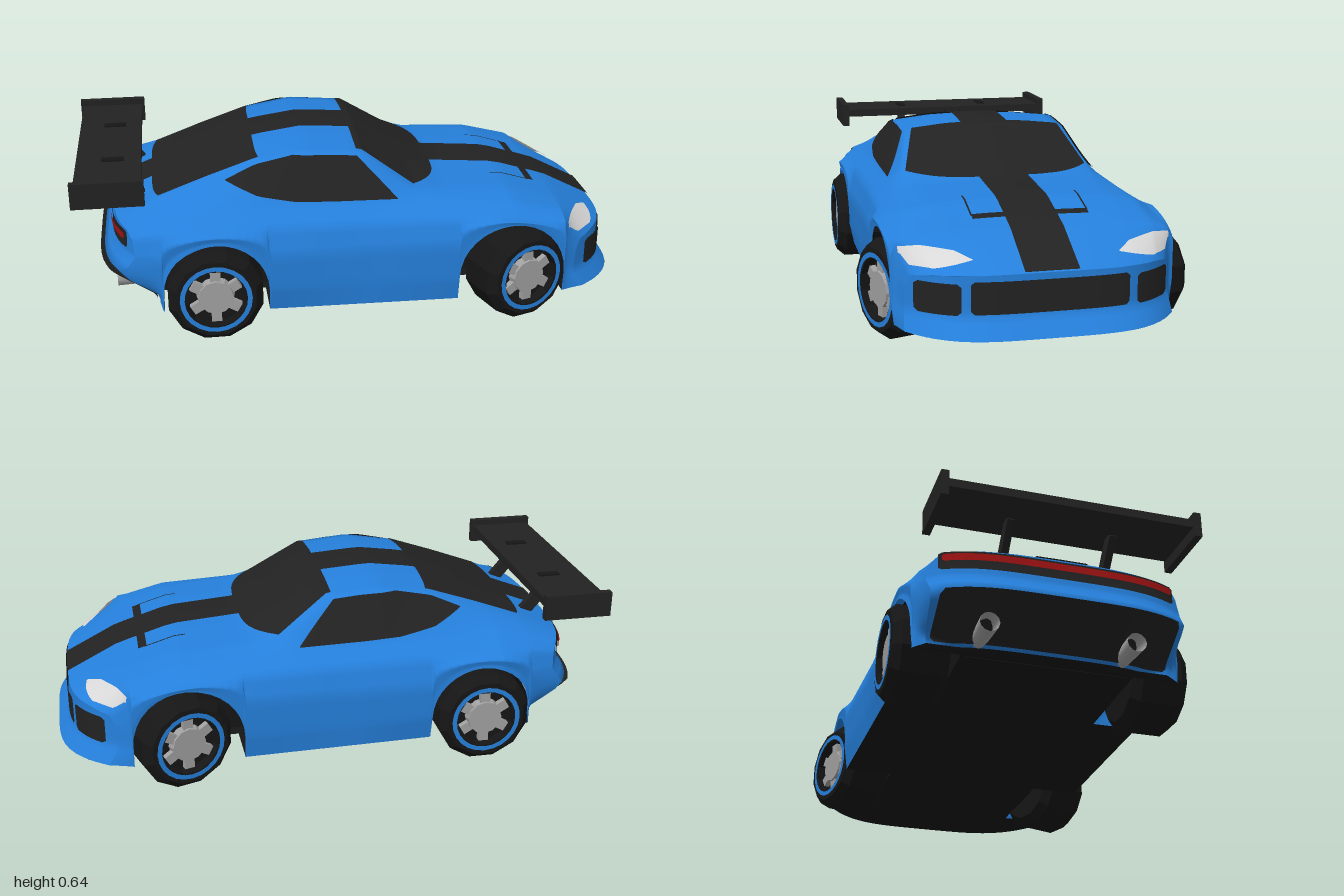
import * as THREE from 'three';

const mat = (name, color, side = THREE.DoubleSide) => new THREE.MeshStandardMaterial({ name, color, side });
const paint = mat('blue paint', 0x2580dc), black = mat('black trim', 0x222222), rubber = mat('tyre rubber', 0x161616);
const silver = mat('silver', 0xa0a0a0), lamp = mat('headlight white', 0xd8d8d8), red = mat('tail light red', 0xa01212);

// Linear lookup in rows of [x, ...values]
function look(rows, x) {
  let i = 0;
  while (i < rows.length - 2 && x > rows[i + 1][0]) i++;
  const a = rows[i], b = rows[i + 1];
  const t = THREE.MathUtils.clamp((x - a[0]) / (b[0] - a[0]), 0, 1);
  return a.slice(1).map((v, k) => v + (b[k + 1] - v) * t);
}
const mix = THREE.MathUtils.lerp;

// Body lines running from tail to nose: [x, y, z]
const sill = [[-0.87, 0.12, 0.42], [-0.68, 0.1, 0.47], [-0.3, 0.085, 0.465], [0.5, 0.082, 0.48], [0.76, 0.085, 0.475], [0.95, 0.088, 0.455]];
const lower = [[-0.87, 0.19, 0.43], [-0.6, 0.18, 0.485], [0, 0.17, 0.478], [0.5, 0.17, 0.495], [0.76, 0.17, 0.485], [0.95, 0.15, 0.45]];
const waist = [[-0.87, 0.31, 0.445], [-0.6, 0.3, 0.49], [0, 0.3, 0.48], [0.5, 0.31, 0.498], [0.76, 0.28, 0.485], [0.95, 0.23, 0.445]];
const shoulder = [[-0.87, 0.37, 0.43], [-0.6, 0.4, 0.46], [0, 0.39, 0.455], [0.5, 0.39, 0.47], [0.76, 0.355, 0.465], [0.95, 0.27, 0.43]];
const belt = [[-0.87, 0.4, 0.4], [-0.6, 0.44, 0.41], [-0.26, 0.46, 0.39], [0.136, 0.45, 0.39], [0.31, 0.437, 0.4], [0.56, 0.422, 0.41], [0.76, 0.375, 0.4], [0.95, 0.283, 0.37]];
const roofEdge = [[-0.87, 0.405, 0.3], [-0.53, 0.53, 0.295], [-0.36, 0.587, 0.3], [-0.18, 0.615, 0.31], [0.02, 0.6, 0.305], [0.2, 0.478, 0.35], [0.31, 0.457, 0.33], [0.56, 0.44, 0.32], [0.76, 0.383, 0.3], [0.95, 0.288, 0.28]];
const spine = [[-0.87, 0.41], [-0.79, 0.44], [-0.53, 0.545], [-0.36, 0.61], [-0.18, 0.635], [0.02, 0.622], [0.31, 0.47], [0.56, 0.45], [0.76, 0.388], [0.95, 0.29]];
const arches = [{ x: -0.52, r: 0.185 }, { x: 0.545, r: 0.195 }], ARCH_Y = 0.17;
const inArch = (x) => arches.find((a) => Math.abs(x - a.x) <= a.r);

// Half cross-section, sill to spine, as [y, z] points; the lower side makes way for the wheel arches
function section(x) {
  const p = [sill, lower, waist, shoulder, belt, roofEdge].map((l) => look(l, x));
  const top = look(spine, x)[0];
  p.push([mix(p[5][0], top, 0.75), p[5][1] * 0.5], [top, 0]);
  const a = inArch(x);
  if (a) {
    const y0 = p[0][0], y3 = p[3][0];
    const yb = ARCH_Y + Math.sqrt(Math.max(0, a.r ** 2 - (x - a.x) ** 2));
    for (let k = 0; k < 3; k++) p[k][0] = yb + ((p[k][0] - y0) / (y3 - y0)) * (y3 - yb);
    p[0][1] = look(waist, x)[1] - 0.003;
  }
  return p;
}

// Rounds nose and tail in plan and gives them their side profile
const TAIL = -0.87, NOSE = 0.95;
function bend(x, y, z) {
  if (x > 0.74) {
    const end = Math.max(NOSE + look([[0.085, 0.05], [0.155, 0]], y)[0] - 4 * z ** 4, 0.75);
    x = mix(0.74, end, (x - 0.74) / (NOSE - 0.74));
  } else if (x < -0.71) {
    const end = Math.min(TAIL + look([[0.12, 0.13], [0.24, -0.05], [0.31, -0.005], [0.36, 0]], y)[0] + 2 * z ** 4, -0.72);
    x = mix(-0.71, end, (-0.71 - x) / (-0.71 - TAIL));
  }
  return [x, y, z];
}

// Point on the skin at station x where the section has the given z (axis 1) or y (axis 0)
function onSkin(x, axis, value, side = 1) {
  const p = section(x);
  for (let k = 7; k > 0; k--) {
    const a = p[k], b = p[k - 1], t = (value - a[axis]) / (b[axis] - a[axis]);
    if (t >= 0 && t <= 1) return bend(x, mix(a[0], b[0], t), side * mix(a[1], b[1], t));
  }
  return bend(x, p[2][0], side * p[2][1]);
}

// Surface from a function of u, v in 0..1
function surface(name, material, us, nv, fn) {
  const pos = [], idx = [], w = nv + 1;
  us.forEach((u) => { for (let j = 0; j <= nv; j++) pos.push(...fn(u, j / nv)); });
  for (let i = 0; i < us.length - 1; i++) for (let j = 0; j < nv; j++) {
    const a = i * w + j;
    idx.push(a, a + w, a + 1, a + 1, a + w, a + w + 1);
  }
  const g = new THREE.BufferGeometry();
  g.setAttribute('position', new THREE.Float32BufferAttribute(pos, 3));
  g.setIndex(idx);
  g.computeVertexNormals();
  return named(name, g, material);
}
function named(name, geometry, material, x = 0, y = 0, z = 0) {
  const m = new THREE.Mesh(geometry, material);
  m.name = name;
  m.position.set(x, y, z);
  return m;
}
const steps = (n) => Array.from({ length: n + 1 }, (_, i) => i / n);
const shift = ([x, y, z], dx, dy, dz = 0) => [x + dx, y + dy, z + dz];
const faceted = (g) => { const f = g.toNonIndexed(); f.computeVertexNormals(); return f; };

// Panel laid on the upper skin; fn gives [station, z]
const topPanel = (name, material, fn) => surface(name, material, steps(40), 24, (u, v) => {
  const [x, z] = fn(u, 1 - 2 * v);
  return shift(onSkin(x, 1, Math.abs(z), Math.sign(z) || 1), 0.002, 0.006);
});
// Panel laid on the nose or tail face
const endPanel = (name, material, x, y0, y1, z0, z1, d) => surface(name, material, steps(10), 24, (u, v) => {
  const cut = Math.abs(u - 0.5) > 0.4 ? 0.012 : 0;
  const y = mix(y0, y1, u), z = mix(z0 + cut, z1 - cut, v);
  return shift(bend(x, y, z), d, 0, 0.006 * Math.sign(z0 + z1));
});

function wheel(name) {
  const g = new THREE.Group();
  g.name = name;
  const profile = [[0, -0.1], [0.14, -0.1], [0.172, -0.07], [0.172, 0.07], [0.145, 0.1], [0.108, 0.1], [0.108, 0.06], [0, 0.06]];
  const tyre = new THREE.LatheGeometry(profile.map((p) => new THREE.Vector2(...p)), 12, Math.PI / 12);
  g.add(named('tyre', faceted(tyre.rotateX(Math.PI / 2)), rubber));
  g.add(named('rimRing', new THREE.RingGeometry(0.11, 0.127, 24), paint, 0, 0, 0.103));
  const hub = new THREE.CylinderGeometry(0.062, 0.068, 0.03, 12).rotateX(Math.PI / 2);
  g.add(named('hub', faceted(hub), silver, 0, 0, 0.075));
  for (let i = 0; i < 6; i++) {
    const spoke = new THREE.BoxGeometry(0.036, 0.045, 0.022).translate(0, 0.073, 0.072).rotateZ((i * Math.PI) / 3);
    g.add(named('spoke', spoke, silver));
  }
  return g;
}

export function createModel() {
  const car = new THREE.Group();
  car.name = 'sportsCar';

  // Body skin with extra stations around the arches
  const stations = [];
  for (let i = 0; i <= 60; i++) stations.push(mix(TAIL, NOSE, i / 60));
  arches.forEach(({ x, r }) => {
    for (let i = 0; i <= 16; i++) stations.push(x + r * 0.99999 * Math.cos((i * Math.PI) / 16));
    stations.push(x - r - 0.001, x + r + 0.001);
  });
  stations.sort((a, b) => a - b);
  const skinPoint = (x, k) => {
    const p = section(x), i = Math.min(Math.floor(k), 6), t = k - i;
    return [mix(p[i][0], p[i + 1][0], t), mix(p[i][1], p[i + 1][1], t)];
  };
  car.add(surface('body', paint, stations, 56, (x, v) => {
    const k = v * 14, [y, z] = skinPoint(x, k <= 7 ? k : 14 - k);
    return bend(x, y, k <= 7 ? z : -z);
  }));
  for (const [name, x, dir] of [['noseFace', NOSE, 1], ['tailFace', TAIL, -1]]) {
    car.add(surface(name, paint, steps(28), 24, (u, v) => {
      const [y, z] = skinPoint(x, u * 7);
      return bend(x, y, z * (2 * v - 1) * dir);
    }));
  }

  // Underside, inner core and wheel wells
  car.add(surface('floor', rubber, stations, 16, (x, v) => {
    const [y, z] = look(sill, x);
    return bend(x, y, (2 * v - 1) * (inArch(x) ? 0.3 : z));
  }));
  car.add(named('core', new THREE.BoxGeometry(1.44, 0.23, 0.56), rubber, 0.02, 0.215, 0));
  for (const a of arches) for (const s of [1, -1]) {
    const well = new THREE.CylinderGeometry(a.r, a.r, 0.18, 16, 1, true, Math.PI / 2, Math.PI).rotateX(Math.PI / 2);
    car.add(named('wheelWell', well, rubber, a.x, ARCH_Y, s * 0.37));
  }

  // Glass, stripe and hood vent
  car.add(topPanel('windscreen', black, (u, s) => [u * (0.31 - 0.11 * s ** 4), s * mix(0.28, 0.34, u)]));
  car.add(topPanel('rearWindow', black, (u, s) => [mix(-0.73 + 0.02 * s ** 6, -0.36 + 0.01 * s ** 6, u), s * 0.28]));
  car.add(topPanel('stripe', black, (u, s) => [mix(TAIL, NOSE, u), s * 0.09]));
  car.add(topPanel('hoodVent', black, (u, s) => [mix(0.66, 0.69, u), s * 0.2]));
  const sash = [[-0.47, 0.53, 0.532], [-0.36, 0.485, 0.58], [-0.23, 0.462, 0.608], [-0.1, 0.456, 0.603], [0, 0.454, 0.594], [0.136, 0.451, 0.453]];
  const light = [[0.24, 0.884, 0.888], [0.29, 0.842, 0.905], [0.365, 0.815, 0.925], [0.43, 0.795, 0.9], [0.458, 0.785, 0.81]];
  for (const s of [1, -1]) {
    car.add(topPanel('ventLine', black, (u, t) => [mix(0.52, 0.67, u), s * 0.2 + t * 0.003]));
    car.add(surface('sideWindow', black, steps(40), 8, (u, v) => {
      const x = mix(-0.47, 0.136, u), [lo, hi] = look(sash, x);
      return shift(onSkin(x, 0, mix(lo, hi, v), s), 0, 0.003, s * 0.007);
    }));
    car.add(surface('headlight', lamp, steps(30), 10, (u, v) => {
      const z = mix(0.24, 0.458, u), [back, front] = look(light, z);
      return shift(onSkin(mix(back, front, v), 1, z, s), 0.004, 0.006, s * 0.004);
    }));
    car.add(endPanel('sideIntake', black, NOSE, 0.16, 0.262, s > 0 ? 0.285 : -0.42, s > 0 ? 0.42 : -0.285, 0.007));
    // Exhaust
    const pipe = new THREE.CylinderGeometry(0.034, 0.028, 0.14, 12, 1, true).rotateZ(Math.PI / 2);
    car.add(named('exhaust', pipe, silver, -0.8, 0.147, s * 0.25));
    // Wing supports and end plates
    const strut = named('wingStrut', new THREE.BoxGeometry(0.045, 0.15, 0.025), black, -0.815, 0.49, s * 0.18);
    strut.rotation.z = 0.7;
    car.add(strut);
    car.add(named('wingMount', new THREE.BoxGeometry(0.08, 0.008, 0.03), rubber, -0.86, 0.577, s * 0.18));
    car.add(named('wingEndPlate', new THREE.BoxGeometry(0.25, 0.092, 0.026), black, -0.875, 0.552, s * 0.436));
  }
  car.add(named('wingBlade', new THREE.BoxGeometry(0.23, 0.03, 0.86), black, -0.875, 0.56, 0));

  // Grille, tail light and diffuser
  car.add(endPanel('grille', black, NOSE, 0.163, 0.27, -0.262, 0.262, 0.007));
  car.add(endPanel('tailPanel', black, TAIL, 0.335, 0.4, -0.41, 0.41, -0.007));
  car.add(endPanel('tailLight', red, TAIL, 0.365, 0.39, -0.4, 0.4, -0.013));
  car.add(endPanel('diffuser', black, TAIL, 0.125, 0.24, -0.41, 0.41, -0.009));

  // Wheels; the front pair is steered
  for (const s of [1, -1]) for (const [name, x, steer] of [['frontWheel', 0.575, 0.32], ['rearWheel', -0.525, 0]]) {
    const w = wheel(name);
    w.position.set(x, 0.167, s * 0.42);
    w.rotation.y = steer + (s < 0 ? Math.PI : 0);
    car.add(w);
  }
  return car;
}
